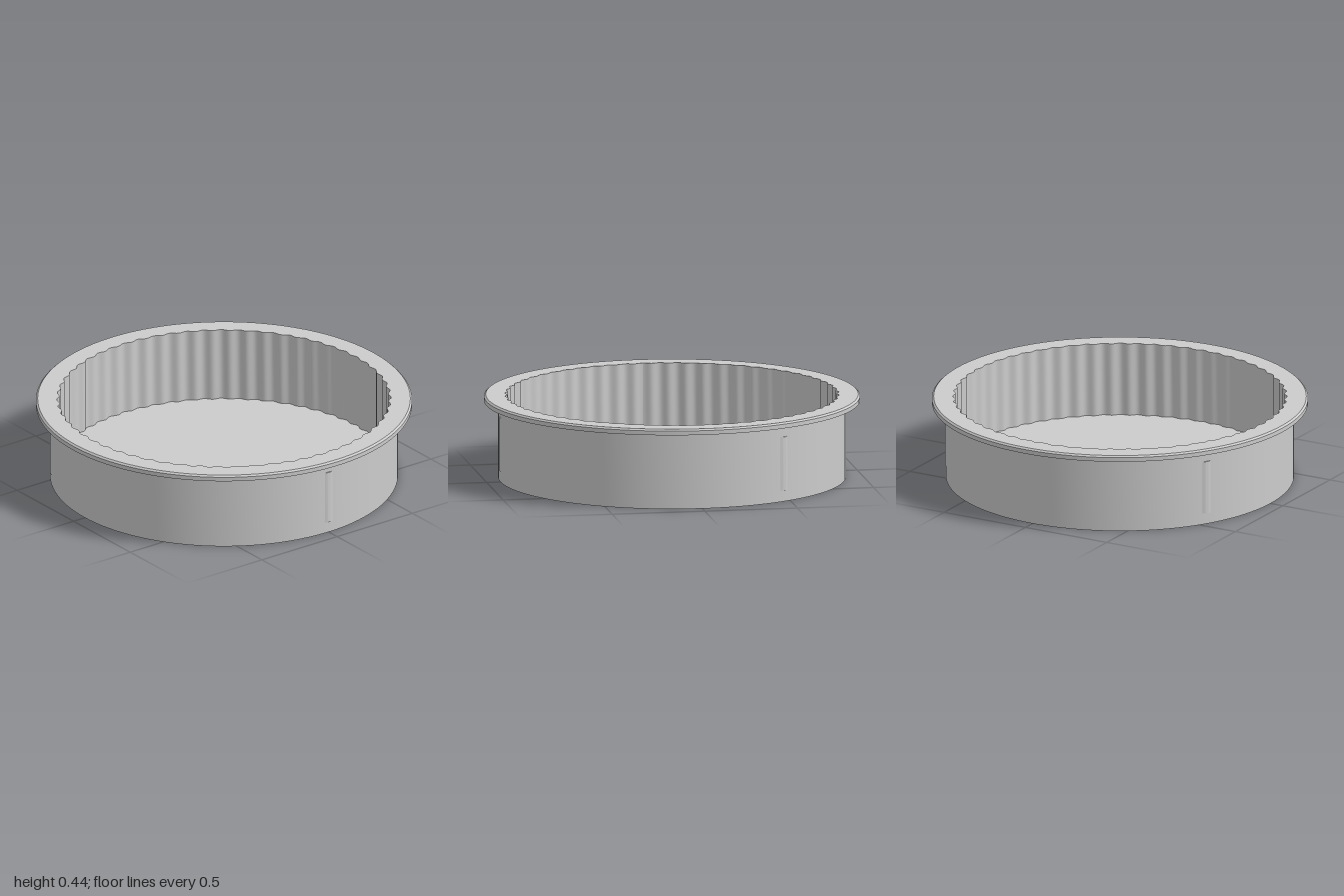
import * as THREE from 'three';
import { toCreasedNormals } from 'three/addons/utils/BufferGeometryUtils.js';

const HEIGHT = 0.445, FLOOR = 0.045, BODY_R = 0.925;
const SCALLOPS = 60, STEPS = SCALLOPS * 8;

// radius of the scalloped bore at a given angle
const boreRadius = (a) => 0.882 + 0.007 * Math.cos(SCALLOPS * a);

function borePoints() {
  return Array.from({ length: STEPS }, (_, i) => {
    const a = (i / STEPS) * Math.PI * 2, r = boreRadius(a);
    return new THREE.Vector2(r * Math.cos(a), r * Math.sin(a));
  });
}

export function createModel() {
  const model = new THREE.Group();
  model.name = 'scallopedCap';
  const material = new THREE.MeshStandardMaterial({ color: 0xcccccc });
  const doubleSided = new THREE.MeshStandardMaterial({ color: 0xcccccc, side: THREE.DoubleSide });

  const add = (name, geometry, mat = material) => {
    const mesh = new THREE.Mesh(geometry, mat);
    mesh.name = name;
    model.add(mesh);
    return mesh;
  };

  // base, outer wall and chamfered flange in one turned profile
  const profile = [
    [0, 0], [BODY_R, 0], [BODY_R, 0.413], [1, 0.413], [1, 0.436], [0.99, HEIGHT],
  ].map(([x, y]) => new THREE.Vector2(x, y));
  add('outerShell', toCreasedNormals(new THREE.LatheGeometry(profile, 128), 0.5));

  // flat top ring with scalloped opening
  const ring = new THREE.Shape();
  ring.absarc(0, 0, 0.99, 0, Math.PI * 2);
  ring.holes.push(new THREE.Path(borePoints()));
  const rim = new THREE.ShapeGeometry(ring, 128).rotateX(-Math.PI / 2);
  add('topRim', rim.translate(0, HEIGHT, 0));

  // scalloped inner wall
  const wall = new THREE.CylinderGeometry(1, 1, HEIGHT - FLOOR, STEPS, 1, true);
  const p = wall.attributes.position;
  for (let i = 0; i < p.count; i++) {
    const r = boreRadius(Math.atan2(p.getZ(i), p.getX(i)));
    p.setX(i, p.getX(i) * r);
    p.setZ(i, p.getZ(i) * r);
  }
  wall.computeVertexNormals();
  add('innerWall', wall.translate(0, (HEIGHT + FLOOR) / 2, 0), doubleSided);

  // inner floor
  const floor = new THREE.ShapeGeometry(new THREE.Shape(borePoints())).rotateX(-Math.PI / 2);
  add('innerFloor', floor.translate(0, FLOOR, 0));

  // three shallow rounded grip ribs on the outer wall
  const segment = new THREE.Shape();
  segment.absarc(0.88, 0, 0.051, -0.5, 0.5, false);
  const ribGeometry = toCreasedNormals(
    new THREE.ExtrudeGeometry(segment, { depth: 0.29, bevelEnabled: false, curveSegments: 10 }), 0.5);
  ribGeometry.rotateX(-Math.PI / 2).translate(0, 0.06, 0);
  for (let i = 0; i < 3; i++) {
    add('gripRib' + (i + 1), ribGeometry).rotation.y = (i * Math.PI * 2) / 3;
  }

  return model;
}
